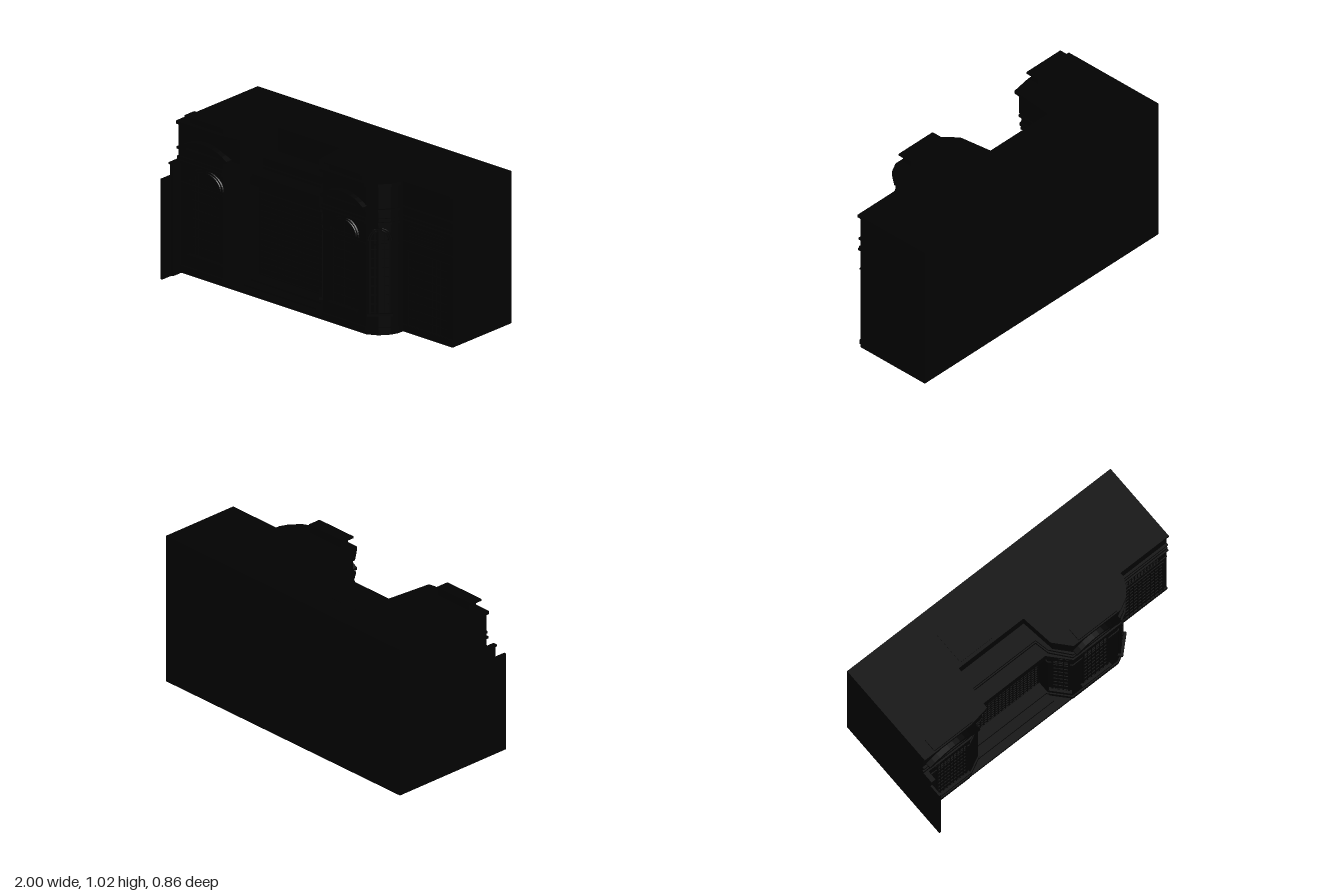
import * as THREE from 'three';

const mat = new THREE.MeshStandardMaterial({ color: 0x020202, flatShading: true });
const BACK = -0.43;

// Facade outlines as (x, z), running from the model's right to its left
const rightTower = [[0.14, 0.27], [0.48, 0.27], [0.545, 0.235], [0.59, 0.18], [0.61, 0.13], [0.61, 0.09], [1, 0.09]];
const lower = [[-1, 0.27], [-0.65, 0.27], [-0.53, 0.21], [-0.53, 0.08], [0.04, 0.08], [0.04, 0.16], ...rightTower];
const middle = [[-1, 0.27], [-0.65, 0.27], [-0.53, 0.23], [-0.52, 0.06], [0.03, 0.06], [0.05, 0.16], ...rightTower];
const upper = [[-1, 0.27], [-0.65, 0.27], [-0.53, 0.25], [-0.5, -0.05], [0.03, -0.05], [0.06, 0.18], ...rightTower];
const ground = [[-1, 0.27], ...rightTower.slice(1)];

// Push an outline outward by d with mitred corners
function offset(line, d) {
  const normal = (a, b) => {
    const l = Math.hypot(b[0] - a[0], b[1] - a[1]);
    return [-(b[1] - a[1]) / l, (b[0] - a[0]) / l];
  };
  return line.map((p, i) => {
    const n1 = normal(line[Math.max(i - 1, 0)], line[Math.max(i, 1)]);
    const last = line.length - 1;
    const n2 = normal(line[Math.min(i, last - 1)], line[Math.min(i + 1, last)]);
    const k = d / (1 + n1[0] * n2[0] + n1[1] * n2[1]);
    return [THREE.MathUtils.clamp(p[0] + (n1[0] + n2[0]) * k, -1, 1), p[1] + (n1[1] + n2[1]) * k];
  });
}

// Horizontal slice of the building between two heights
function slice(name, line, y0, y1, d = 0) {
  const pts = [...offset(line, d), [1, BACK], [-1, BACK]];
  const shape = new THREE.Shape(pts.map(([x, z]) => new THREE.Vector2(x, -z)));
  const geo = new THREE.ExtrudeGeometry(shape, { depth: y1 - y0, bevelEnabled: false });
  geo.rotateX(-Math.PI / 2).translate(0, y0, 0);
  const mesh = new THREE.Mesh(geo, mat);
  mesh.name = name;
  return mesh;
}

function box(name, x0, x1, y0, y1, z0, z1) {
  const mesh = new THREE.Mesh(new THREE.BoxGeometry(x1 - x0, y1 - y0, z1 - z0), mat);
  mesh.position.set((x0 + x1) / 2, (y0 + y1) / 2, (z0 + z1) / 2);
  mesh.name = name;
  return mesh;
}

// Barred window on the wall line a-b, optionally with an arched head and a sill
function windowOn(name, a, b, y0, y1, cols, rows, rise = 0) {
  const g = new THREE.Group();
  g.name = name;
  const w = Math.hypot(b[0] - a[0], b[1] - a[1]), h = w / 2;
  g.position.set((a[0] + b[0]) / 2, 0, (a[1] + b[1]) / 2);
  g.rotation.y = Math.atan2(a[1] - b[1], b[0] - a[0]);
  const bar = 0.003;
  for (let i = 0; i <= cols; i++) {
    const x = -h + (w * i) / cols;
    const t = i % cols ? bar : 0.006;
    const top = y1 + rise * Math.sqrt(Math.max(0, 1 - (x / h) ** 2));
    g.add(box('mullion', x - t, x + t, y0, top, -0.005, 0.006));
  }
  for (let j = 0; j <= rows; j++) {
    const y = y0 + ((y1 - y0) * j) / rows;
    g.add(box('glazingBar', -h, h, y - bar, y + bar, -0.005, 0.005));
  }
  if (rise) {
    // Arch mouldings, sill and keystone
    for (const [s, tube] of [[1, 0.007], [1.2, 0.008]]) {
      const arch = new THREE.Mesh(new THREE.TorusGeometry(h * s, tube, 6, 20, Math.PI), mat);
      arch.scale.y = rise / h;
      arch.position.y = y1;
      arch.name = 'archMoulding';
      g.add(arch);
    }
    g.add(box('sill', -h - 0.02, h + 0.02, y0 - 0.015, y0, -0.01, 0.022));
    g.add(box('keystone', -0.012, 0.012, y1 + rise, y1 + rise * 1.3, -0.01, 0.015));
  }
  return g;
}

// Arched hood and attic block crowning a tower
function crown(x, w) {
  const g = new THREE.Group();
  g.name = 'towerCrown';
  const hood = new THREE.Shape();
  hood.moveTo(-w, 0.8);
  hood.lineTo(-w * 0.8, 0.8);
  hood.quadraticCurveTo(0, 0.9, w * 0.8, 0.8);
  hood.lineTo(w, 0.8);
  hood.lineTo(w, 0.815);
  hood.quadraticCurveTo(0, 0.935, -w, 0.815);
  const geo = new THREE.ExtrudeGeometry(hood, { depth: 0.045, bevelEnabled: false, curveSegments: 10 });
  const mesh = new THREE.Mesh(geo, mat);
  mesh.position.set(x, 0, 0.26);
  mesh.name = 'archedHood';
  g.add(mesh);
  g.add(box('atticBlock', x - 0.13, x + 0.13, 0.96, 1.005, 0.21, 0.27));
  g.add(box('atticCap', x - 0.15, x + 0.14, 1.005, 1.018, 0.21, 0.295));
  return g;
}

export function createModel() {
  const g = new THREE.Group();
  g.name = 'building';

  // Walls from the ground up, with string courses and cornices
  g.add(slice('groundSlab', ground, 0, 0.02));
  g.add(slice('lowerWalls', lower, 0.02, 0.72));
  g.add(slice('plinth', lower, 0.02, 0.05, 0.008));
  g.add(slice('impostBand', lower, 0.57, 0.58, 0.006));
  g.add(slice('mainCornice', lower, 0.706, 0.72, 0.02));
  g.add(slice('parapetWalls', middle, 0.72, 0.8));
  g.add(slice('parapetBase', middle, 0.72, 0.74, 0.01));
  g.add(slice('parapetRail', middle, 0.785, 0.8, 0.015));
  g.add(slice('upperWalls', upper, 0.8, 0.965));
  g.add(slice('topCornice', upper, 0.945, 0.965, 0.022));

  // Entrance bay: ledge over the opening, steps, tall screen
  g.add(box('entranceLedge', -0.54, 0.05, 0.65, 0.72, 0.07, 0.165));
  for (let i = 0; i < 2; i++) g.add(box('step', -0.53, 0.04, 0.02, 0.035 + i * 0.015, 0.07, 0.22 - i * 0.06));
  g.add(windowOn('entranceScreen', [-0.52, 0.08], [0.03, 0.08], 0.06, 0.57, 20, 14));
  g.add(box('roofPlate', -0.45, -0.21, 0.96, 0.969, -0.27, -0.05));

  // Tower windows: front faces and angled corners
  g.add(windowOn('rightTowerWindow', [-0.89, 0.27], [-0.67, 0.27], 0.14, 0.6, 9, 8, 0.08));
  g.add(windowOn('leftTowerWindow', [0.22, 0.27], [0.4, 0.27], 0.14, 0.6, 6, 8, 0.08));
  g.add(windowOn('innerCornerWindow', [0.06, 0.182], [0.125, 0.254], 0.14, 0.6, 3, 8, 0.06));
  g.add(windowOn('outerCornerWindow', [0.505, 0.262], [0.588, 0.185], 0.14, 0.6, 4, 8, 0.06));

  // Side wing windows
  g.add(windowOn('wingLowerWindow', [0.65, 0.09], [0.97, 0.09], 0.05, 0.52, 10, 9));
  g.add(windowOn('wingUpperWindow', [0.66, 0.09], [0.94, 0.09], 0.59, 0.68, 12, 4));

  g.add(crown(-0.78, 0.19), crown(0.315, 0.17));

  // Projecting end wall with its stepped pier
  g.add(box('endWall', -1, -0.987, 0, 0.636, 0.25, 0.427));
  g.add(box('endPier', -1, -0.975, 0, 0.71, 0.25, 0.345));
  g.add(box('endPierCap', -1, -0.97, 0.708, 0.72, 0.25, 0.355));
  return g;
}
